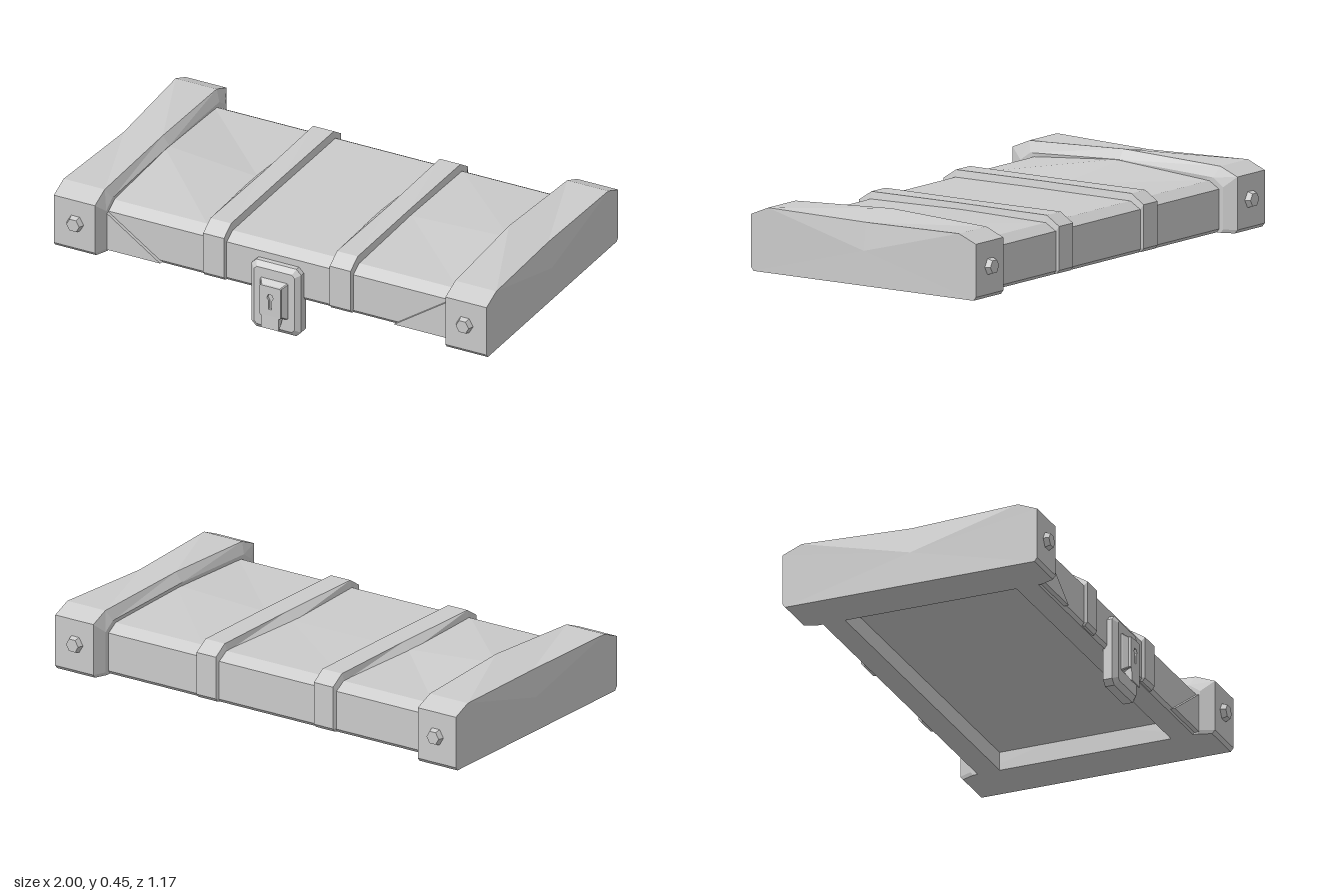
import * as THREE from 'three';

const material = new THREE.MeshStandardMaterial({ color: 0xcccccc, flatShading: true });

function add(parent, name, geometry) {
  const mesh = new THREE.Mesh(geometry, material);
  mesh.name = name;
  parent.add(mesh);
  return mesh;
}

// Skin a row of closed cross-sections; each runs counter-clockwise seen from the last one.
function loft(rings, closed = true) {
  const pos = [];
  const tri = (...corners) => corners.forEach((p) => pos.push(...p));
  const n = rings[0].length;
  for (let i = 0; i + 1 < rings.length; i++) {
    for (let j = 0; j < n; j++) {
      const k = (j + 1) % n;
      tri(rings[i][j], rings[i][k], rings[i + 1][k]);
      tri(rings[i][j], rings[i + 1][k], rings[i + 1][j]);
    }
  }
  if (closed) {
    [rings[0], rings[rings.length - 1]].forEach((ring, end) => {
      const mid = [0, 1, 2].map((a) => ring.reduce((s, p) => s + p[a], 0) / n);
      for (let j = 0; j < n; j++) {
        const k = (j + 1) % n;
        if (end) tri(mid, ring[j], ring[k]);
        else tri(mid, ring[k], ring[j]);
      }
    });
  }
  const geometry = new THREE.BufferGeometry();
  geometry.setAttribute('position', new THREE.Float32BufferAttribute(pos, 3));
  geometry.computeVertexNormals();
  return geometry;
}

// Lid cross-section at x: half width w, shoulder height, flat height, middle peak.
// bend shifts the middle point along x; recess = [half width, ceiling] hollows the underside.
function section(x, { w, shoulder, flat, inset, peak = flat, bend = 0, bottom = 0.16, recess }) {
  const under = [[bottom, w - 0.012]];
  if (recess) under.push([bottom, recess[0]], [recess[1], recess[0]]);
  const side = [[bottom + 0.015, w], [shoulder, w], [flat, w - inset]];
  const flip = (list) => list.map(([y, z]) => [y, -z]);
  const point = ([y, z]) => [x, y, z];
  return [
    ...under.map(point),
    ...flip(under).reverse().map(point),
    ...flip(side).map(point),
    [x + bend, peak, 0],
    ...side.reverse().map(point),
  ];
}

// Rectangle with cut corners in the xy plane at depth z.
function cutRect(w, y0, y1, cut, z) {
  return [
    [-w + cut, y0], [w - cut, y0], [w, y0 + cut], [w, y1 - cut],
    [w - cut, y1], [-w + cut, y1], [-w, y1 - cut], [-w, y0 + cut],
  ].map(([x, y]) => [x, y, z]);
}

function createEndCap() {
  const cap = new THREE.Group();
  cap.name = 'endCap';
  const edge = { w: 0.565, shoulder: 0.395, flat: 0.43, inset: 0.085 };
  add(cap, 'capBlock', loft([
    section(0.787, { w: 0.51, shoulder: 0.35, flat: 0.385, inset: 0.05, peak: 0.41, bend: -0.017 }),
    section(0.81, { ...edge, peak: 0.45, bend: -0.01 }),
    section(1, { ...edge, peak: 0.42, bend: -0.02 }),
  ]));
  // Hexagonal bolts on the front and back
  for (const s of [1, -1]) {
    const bolt = new THREE.CylinderGeometry(0.03, 0.04, 0.027, 6);
    bolt.rotateY(Math.PI / 2).rotateX(s * Math.PI / 2).translate(0.9, 0.29, s * 0.574);
    add(cap, 'bolt', bolt);
  }
  return cap;
}

function createLatch() {
  const latch = new THREE.Group();
  latch.name = 'latch';
  add(latch, 'latchPlate', loft([
    cutRect(0.115, 0, 0.31, 0.022, 0.472),
    cutRect(0.115, 0, 0.31, 0.022, 0.512),
    cutRect(0.093, 0.022, 0.288, 0.012, 0.53),
  ]));
  add(latch, 'lockBase', loft([
    cutRect(0.065, 0.075, 0.245, 0.004, 0.525),
    cutRect(0.062, 0.078, 0.242, 0.004, 0.535),
    cutRect(0.048, 0.09, 0.23, 0.004, 0.555),
  ]));

  // Lock face with a keyhole cut through it
  const face = new THREE.Shape(cutRect(0.048, 0.09, 0.23, 0.004, 0).map(([x, y]) => new THREE.Vector2(x, y)));
  const hole = new THREE.Path();
  hole.moveTo(-0.007, 0.125);
  hole.lineTo(0.007, 0.125);
  hole.lineTo(0.007, 0.165);
  hole.lineTo(0.015, 0.178);
  hole.lineTo(0.008, 0.193);
  hole.lineTo(-0.008, 0.193);
  hole.lineTo(-0.015, 0.178);
  hole.lineTo(-0.007, 0.165);
  hole.closePath();
  face.holes.push(hole);
  const faceGeometry = new THREE.ExtrudeGeometry(face, { depth: 0.011, bevelEnabled: false });
  add(latch, 'lockFace', faceGeometry.translate(0, 0, 0.555));

  // Flared pull tab below the lock
  const tab = [[0.53, 0.08], [0.562, 0.035], [0.568, 0.035], [0.566, 0.095], [0.53, 0.1]];
  add(latch, 'pullTab', loft([-0.04, 0.04].map((x) => tab.map(([z, y]) => [x, y, z]).reverse())));
  return latch;
}

export function createModel() {
  const model = new THREE.Group();
  model.name = 'chestLid';

  // Lid panel, hollow underneath, with a middle ridge rising to the ends
  const ridge = [[-0.8, 0.41], [-0.36, 0.372], [0.23, 0.37], [0.35, 0.377], [0.8, 0.395]];
  add(model, 'lidPanel', loft(ridge.map(([x, peak]) => section(x, {
    w: 0.49, shoulder: 0.34, flat: 0.37, inset: 0.05, peak, recess: [0.38, 0.24],
  })), false));

  // Two straps wrapped across the lid, each bowed on one edge
  const foot = { w: 0.485, shoulder: 0.335, flat: 0.366, inset: 0.05, bottom: 0.163, recess: [0.39, 0.25] };
  const top = { ...foot, w: 0.503, shoulder: 0.36, flat: 0.4, inset: 0.062 };
  for (const x of [-0.295, 0.29]) {
    add(model, 'strap', loft([
      section(x - 0.058, { ...foot, bend: -0.025 }),
      section(x - 0.048, { ...top, bend: 0.005 }),
      section(x + 0.048, { ...top, peak: 0.402 }),
      section(x + 0.056, foot),
    ], false));
  }

  // End caps
  const leftCap = createEndCap();
  const rightCap = createEndCap();
  rightCap.rotation.y = Math.PI;
  model.add(leftCap, rightCap);

  // Triangular corner braces on the front
  for (const s of [1, -1]) {
    const brace = new THREE.Shape([[0.8, 0.345], [0.8, 0.168], [0.54, 0.168]]
      .map(([x, y]) => new THREE.Vector2(s * x, y)));
    const geometry = new THREE.ExtrudeGeometry(brace, { depth: 0.025, bevelEnabled: false });
    add(model, 'cornerBrace', geometry.translate(0, 0, 0.48));
  }

  model.add(createLatch());
  return model;
}
